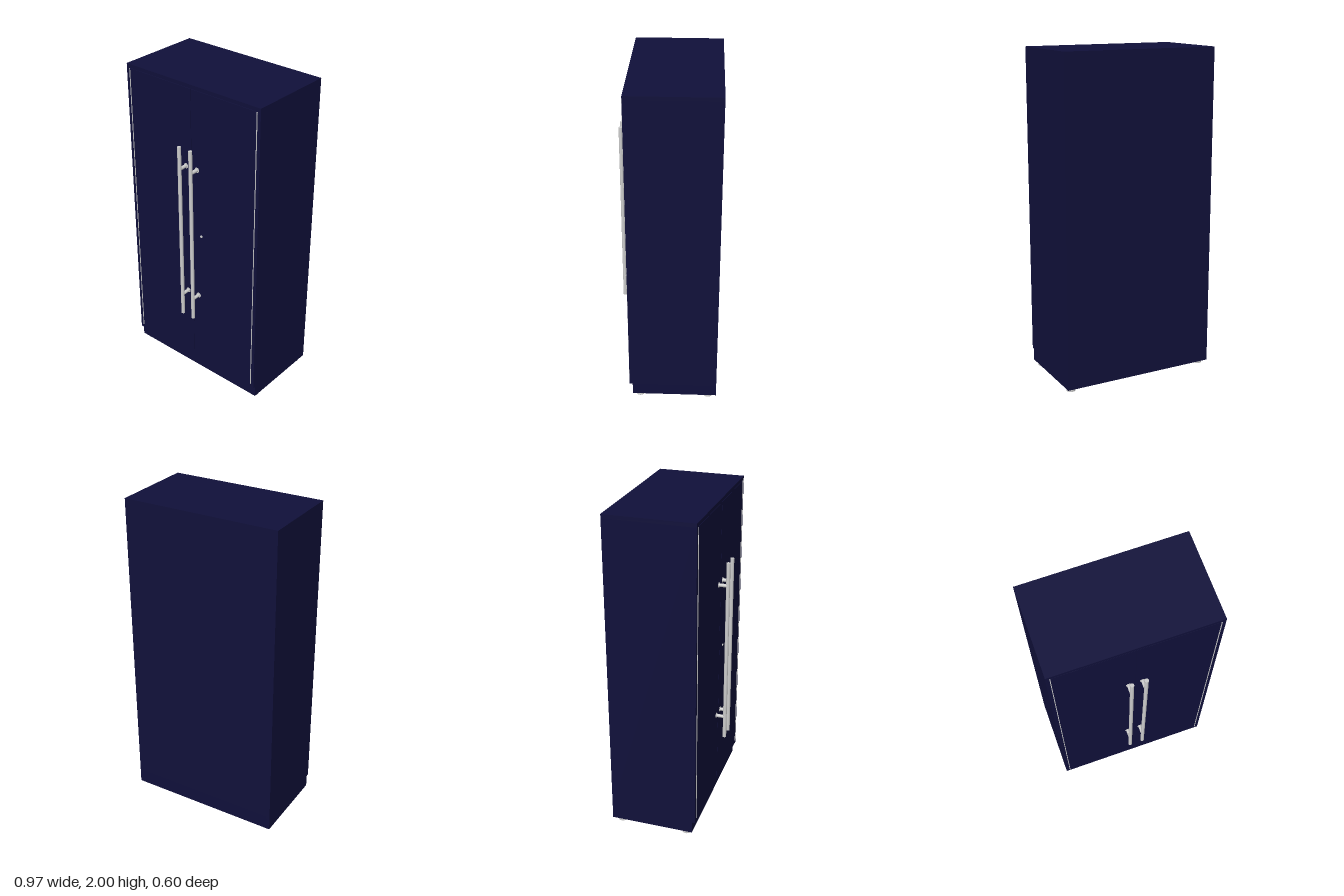
import * as THREE from 'three';

const navy = new THREE.MeshStandardMaterial({ color: 0x10103a });
const metal = new THREE.MeshStandardMaterial({ color: 0xcccccc });

export function createModel() {
  const model = new THREE.Group();
  model.name = 'wardrobe';

  // Box given by its limits on each axis
  function box(name, [x0, x1], [y0, y1], [z0, z1], material = navy) {
    const mesh = new THREE.Mesh(new THREE.BoxGeometry(x1 - x0, y1 - y0, z1 - z0), material);
    mesh.position.set((x0 + x1) / 2, (y0 + y1) / 2, (z0 + z1) / 2);
    mesh.name = name;
    model.add(mesh);
  }

  // Cylinder centred at a point, along y or z
  function rod(name, radius, length, [x, y, z], axis = 'y', parent = model) {
    const geometry = new THREE.CylinderGeometry(radius, radius, length, 24);
    if (axis === 'z') geometry.rotateX(Math.PI / 2);
    const mesh = new THREE.Mesh(geometry, metal);
    mesh.position.set(x, y, z);
    mesh.name = name;
    parent.add(mesh);
  }

  const W = 0.487, back = -0.303, front = 0.234, inner = 0.466;

  // Carcass
  box('plinth', [-W, W], [0.025, 0.1], [back, 0.215]);
  box('topPanel', [-W, W], [1.977, 2], [back, front]);
  box('bottomPanel', [-inner, inner], [0.1, 0.12], [back, 0.212]);
  box('backPanel', [-inner, inner], [0.12, 1.977], [back, back + 0.02]);

  for (const s of [-1, 1]) {
    const side = s > 0 ? 'left' : 'right';
    const span = (a, b) => (s > 0 ? [a, b] : [-b, -a]);

    box(side + 'SidePanel', span(inner, W), [0.1, 1.977], [back, front]);
    box(side + 'Door', span(0.0012, 0.461), [0.103, 1.9745], [0.214, front]);
    box(side + 'HingeStrip', span(0.4615, 0.4655), [0.125, 1.975], [0.214, 0.237], metal);

    // Long bar handle on two standoffs
    const handle = new THREE.Group();
    handle.name = side + 'Handle';
    const x = s * 0.042;
    rod('bar', 0.0115, 1.165, [x, 1.05, 0.29], 'y', handle);
    for (const y of [0.612, 1.49]) {
      rod('standoff', 0.0105, 0.058, [x, y, 0.261], 'z', handle);
      rod('standoffCollar', 0.016, 0.004, [x, y, 0.235], 'z', handle);
    }
    model.add(handle);

    // Levelling feet
    for (const z of [0.17, -0.252]) {
      rod(side + 'FootPad', 0.027, 0.012, [s * 0.447, 0.006, z]);
      rod(side + 'FootStem', 0.012, 0.02, [s * 0.447, 0.018, z]);
    }
  }

  rod('lock', 0.008, 0.006, [0.07, 1.052, 0.235], 'z');

  return model;
}
